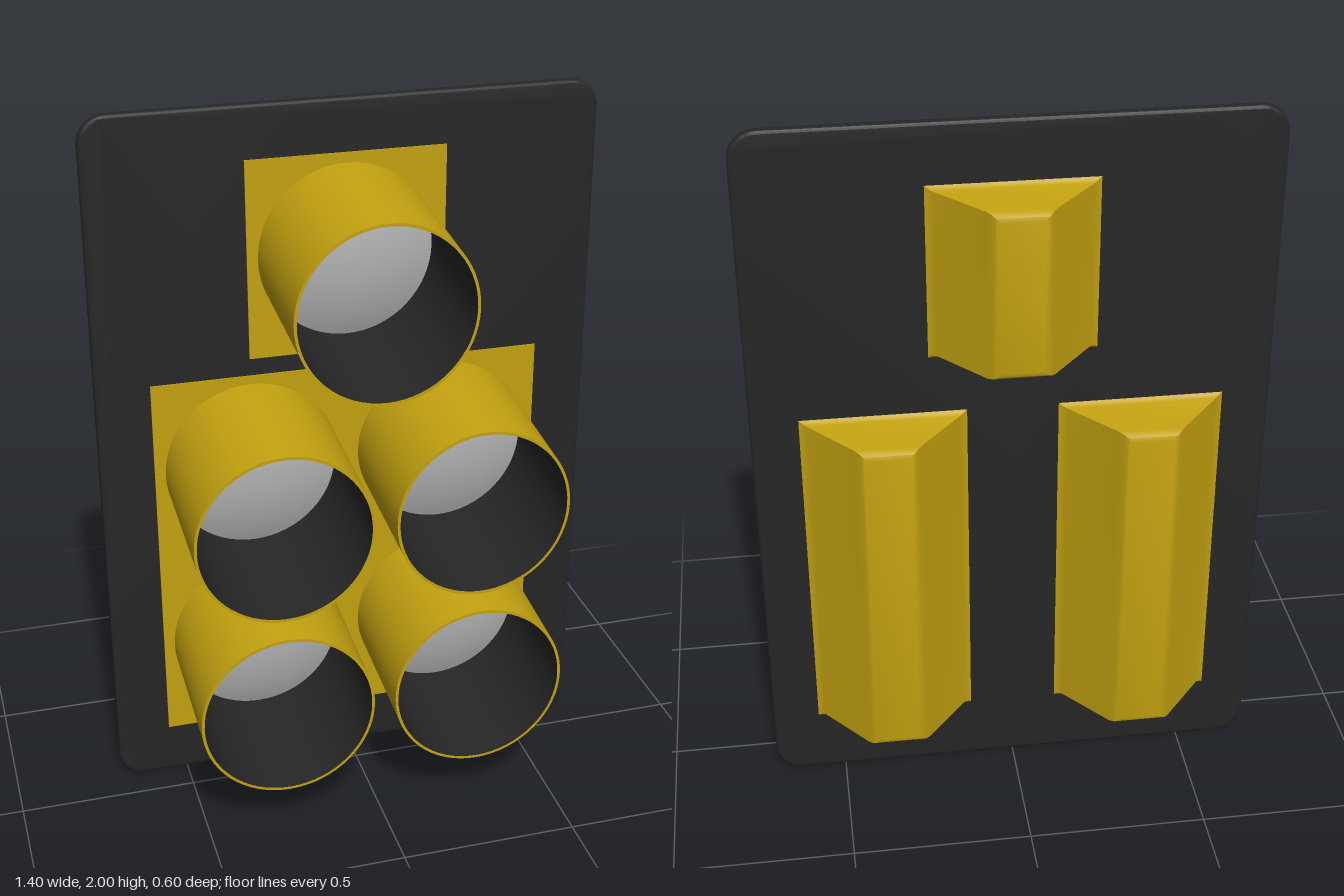
import * as THREE from 'three';
import { toCreasedNormals } from 'three/addons/utils/BufferGeometryUtils.js';

const mat = (name, color, side = THREE.FrontSide) =>
  new THREE.MeshStandardMaterial({ name, color, side });

// Loft of rectangles [z, halfWidth, halfHeight] going backwards, closed at the back
function loftBack(levels) {
  const pos = [], idx = [];
  for (const [z, w, h] of levels) pos.push(w, h, z, -w, h, z, -w, -h, z, w, -h, z);
  for (let i = 0; i < levels.length - 1; i++) {
    for (let k = 0; k < 4; k++) {
      const a = i * 4 + k, b = i * 4 + (k + 1) % 4;
      idx.push(a, b + 4, b, a, a + 4, b + 4);
    }
  }
  const e = (levels.length - 1) * 4;
  idx.push(e, e + 2, e + 1, e, e + 3, e + 2);
  const g = new THREE.BufferGeometry();
  g.setAttribute('position', new THREE.Float32BufferAttribute(pos, 3));
  g.setIndex(idx);
  return toCreasedNormals(g, 0.6);
}

// Surface of revolution about z, from [radius, z] points
function latheZ(points) {
  const g = new THREE.LatheGeometry(points.map(([r, z]) => new THREE.Vector2(r, z)), 64);
  return g.rotateX(Math.PI / 2);
}

function roundedRect(w, h, r) {
  const s = new THREE.Shape();
  s.moveTo(-w + r, -h);
  s.lineTo(w - r, -h);
  s.absarc(w - r, -h + r, r, -Math.PI / 2, 0);
  s.absarc(w - r, h - r, r, 0, Math.PI / 2);
  s.absarc(-w + r, h - r, r, Math.PI / 2, Math.PI);
  s.absarc(-w + r, -h + r, r, Math.PI, Math.PI * 1.5);
  return s;
}

export function createModel() {
  const model = new THREE.Group();
  const yellow = mat('signal yellow', 0xc2a110);
  const black = mat('matt black', 0x262626);
  const grey = mat('lens grey', 0xb4b4b4);

  const add = (name, geometry, material, x = 0, y = 0, z = 0, parent = model) => {
    const m = new THREE.Mesh(geometry, material);
    m.name = name;
    m.position.set(x, y, z);
    parent.add(m);
    return m;
  };

  // Backing plate with softened edge
  const bevel = 0.008;
  const plate = new THREE.ExtrudeGeometry(roundedRect(0.7 - bevel, 1 - bevel, 0.07), {
    depth: 0.014, bevelThickness: bevel, bevelSize: bevel, bevelSegments: 3, curveSegments: 8,
  });
  add('backPlate', toCreasedNormals(plate, 0.6), black, 0, 1, -0.112);

  // Yellow faces of the signal heads, just proud of the plate
  add('upperFace', new THREE.BoxGeometry(0.55, 0.555, 0.008), yellow, 0, 1.577, -0.09);
  add('lowerFace', new THREE.BoxGeometry(1.1, 1.1, 0.008), yellow, 0, 0.7, -0.09);

  // Visors lean downward towards the front while their rims stay upright
  const back = -0.09, front = 0.3, R = 0.245, r = 0.237;
  const lean = new THREE.Matrix4().makeShear(0, 0, 0, 0, 0, -0.103);
  const visorOuter = toCreasedNormals(latheZ([[R, back], [R, front], [r, front]]), 0.6)
    .applyMatrix4(lean);
  const visorInner = latheZ([[r, front - 0.001], [r, back]]).applyMatrix4(lean);

  // Shallow domed lens
  const bulge = 0.05, sphereR = (r * r + bulge * bulge) / (2 * bulge);
  const dome = [];
  for (let i = 0; i <= 10; i++) {
    const a = Math.asin(r / sphereR) * (1 - i / 10);
    dome.push([sphereR * Math.sin(a), sphereR * Math.cos(a) - sphereR + bulge]);
  }
  const lens = latheZ(dome);

  for (const [x, y] of [[0, 1.573], [-0.275, 0.972], [0.275, 0.972], [-0.275, 0.424], [0.275, 0.424]]) {
    const lamp = new THREE.Group();
    lamp.name = 'lamp';
    lamp.position.set(x, y, 0);
    model.add(lamp);
    add('visor', visorOuter, yellow, 0, 0, 0, lamp);
    add('visorLining', visorInner, black, 0, 0, 0, lamp);
    add('lens', lens, grey, 0, 0.009, -0.086, lamp);
  }

  // Tapered housings behind the plate, flared at the foot and rounded at the back
  const housing = (h) => loftBack([
    [-0.118, 0.228, h + 0.014],
    [-0.124, 0.215, h + 0.005],
    [-0.134, 0.203, h],
    [-0.272, 0.087, h],
    [-0.285, 0.075, h - 0.004],
    [-0.293, 0.066, h - 0.011],
    [-0.296, 0.055, h - 0.022],
  ]);
  add('upperHousing', housing(0.23), yellow, 0, 1.595);
  const lower = housing(0.487);
  for (const side of [-1, 1]) add('lowerHousing', lower, yellow, side * 0.347, 0.692);

  return model;
}
